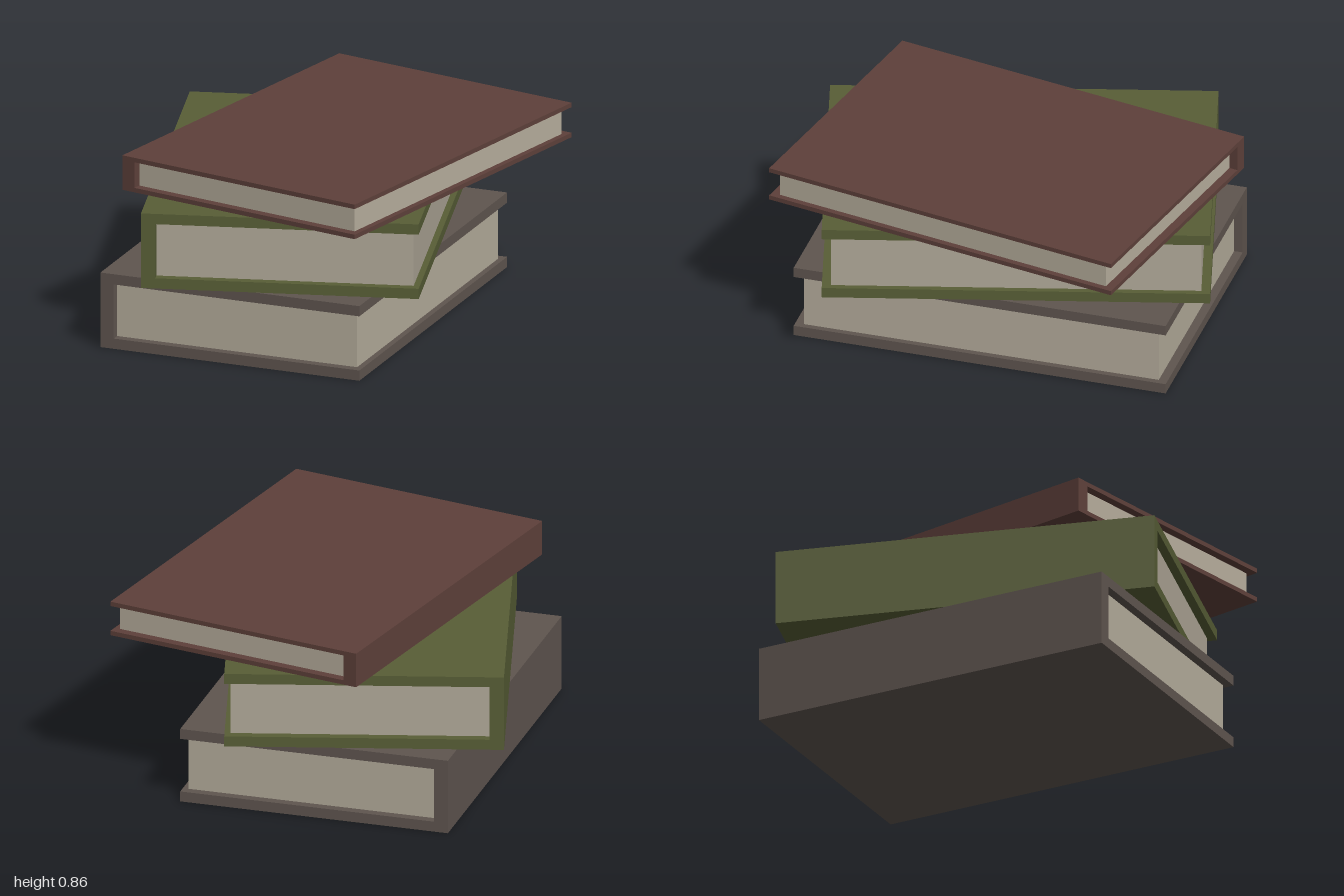
import * as THREE from 'three';

const LENGTH = 1.73, WIDTH = 1.246, SPINE = 0.064;
const PAGE_INSET_SIDE = 0.027, PAGE_INSET_END = 0.04;

// One hardback: a U-shaped cover (spine on -x) wrapped around a page block.
function createBook({ name, height, board, color, pageColor, position, turn }) {
  const book = new THREE.Group();
  book.name = name;
  const w = WIDTH / 2;

  // cover: two boards and the spine as a single extruded profile
  const profile = new THREE.Shape([
    [-w, 0], [w, 0], [w, board], [-w + SPINE, board],
    [-w + SPINE, height - board], [w, height - board], [w, height], [-w, height],
  ].map(([x, y]) => new THREE.Vector2(x, y)));
  const coverGeometry = new THREE.ExtrudeGeometry(profile, { depth: LENGTH, bevelEnabled: false });
  coverGeometry.translate(0, 0, -LENGTH / 2);
  const cover = new THREE.Mesh(coverGeometry, new THREE.MeshStandardMaterial({ color }));
  cover.name = 'cover';

  // pages: block set back from the open edges
  const pageWidth = WIDTH - SPINE - PAGE_INSET_SIDE;
  const pages = new THREE.Mesh(
    new THREE.BoxGeometry(pageWidth, height - 2 * board, LENGTH - 2 * PAGE_INSET_END),
    new THREE.MeshStandardMaterial({ color: pageColor }),
  );
  pages.name = 'pages';
  pages.position.set(-w + SPINE + pageWidth / 2, height / 2, 0);

  book.add(cover, pages);
  book.position.set(...position);
  book.rotation.y = turn;
  return book;
}

export function createModel() {
  const model = new THREE.Group();
  model.name = 'bookStack';
  model.add(
    createBook({
      name: 'bottomBook', height: 0.35, board: 0.048, color: 0x5f554f, pageColor: 0xb4ac9b,
      position: [-0.085, 0, 0], turn: 0,
    }),
    createBook({
      name: 'middleBook', height: 0.35, board: 0.048, color: 0x585e36, pageColor: 0xb0a898,
      position: [-0.083, 0.35, 0], turn: 0.264,
    }),
    createBook({
      name: 'topBook', height: 0.162, board: 0.021, color: 0x5e403a, pageColor: 0xb6ad9c,
      position: [0.123, 0.7, 0], turn: -0.202,
    }),
  );
  return model;
}
